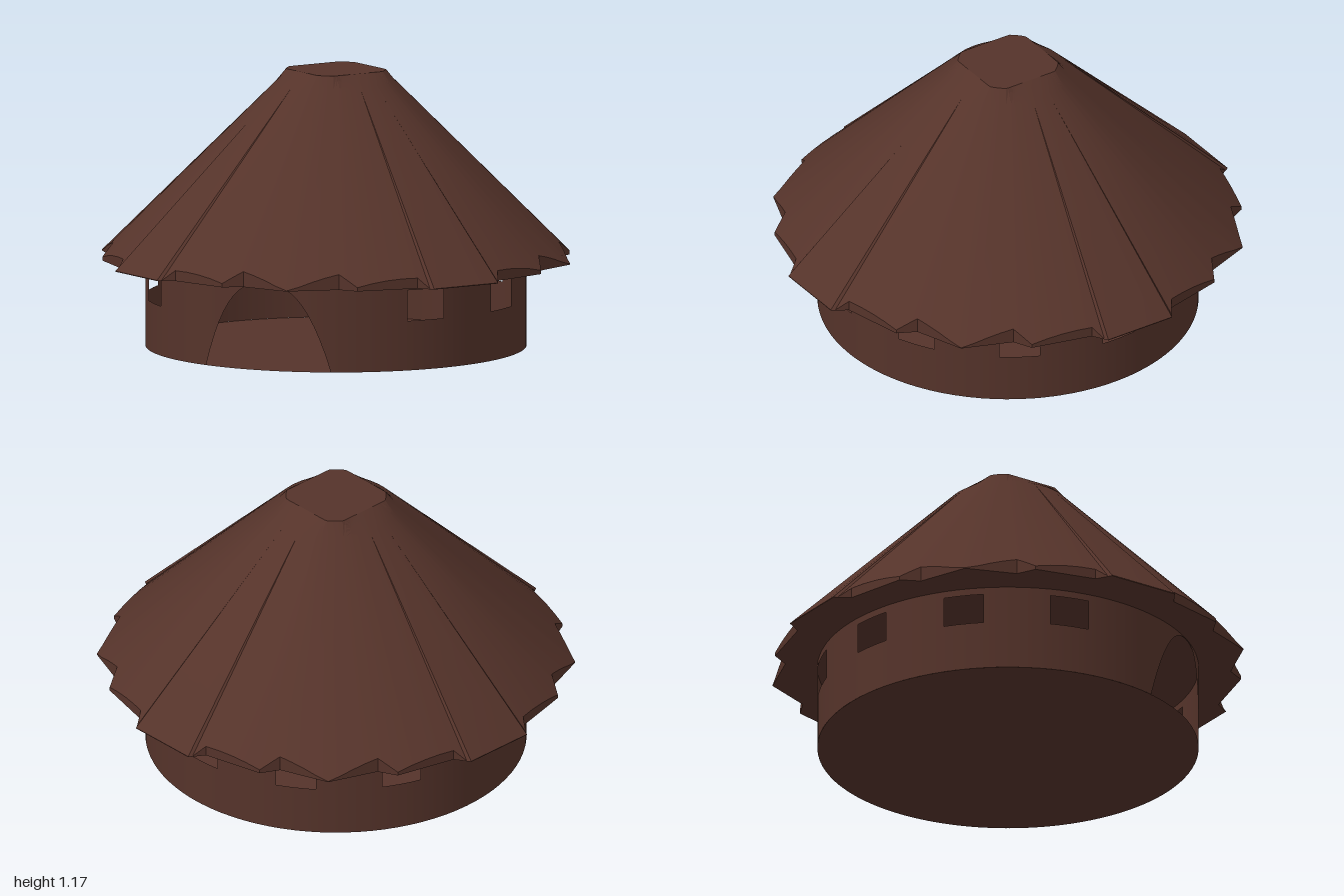
import * as THREE from 'three';
import { toCreasedNormals } from 'three/addons/utils/BufferGeometryUtils.js';

const RAD = Math.PI / 180;
const WALL_R = 0.8, EAVE = 0.37;
const brown = new THREE.MeshStandardMaterial({ color: 0x55332a, side: THREE.DoubleSide });
brown.name = 'brown';

function fromTriangles(points) {
  const g = new THREE.BufferGeometry();
  g.setAttribute('position', new THREE.Float32BufferAttribute(points, 3));
  g.computeVertexNormals();
  return g;
}

function addMesh(group, name, geometry) {
  const mesh = new THREE.Mesh(geometry, brown);
  mesh.name = name;
  group.add(mesh);
}

// Round wall, built as upright strips so the door and windows are real openings.
// Angles run from +x towards +z.
function wallGeometry() {
  const door = 145.3, doorHalf = 20.7, windowHalf = 6.1;
  const windows = [];
  for (let k = -4; k <= 4; k++) windows.push(door + 180 + 32.4 * k);

  // strip boundaries: an even spread plus the exact edges of every opening
  const start = door - doorHalf;
  const cuts = [start + 360];
  for (let a = 0; a < 2 * doorHalf; a += doorHalf / 12) cuts.push(start + a);
  for (let a = 2 * doorHalf; a < 360; a += 4) cuts.push(start + a);
  windows.forEach(w => cuts.push(w - windowHalf, w + windowHalf));
  cuts.sort((a, b) => a - b);

  const doorTop = a => {
    const t = Math.abs(a - door) / doorHalf;
    return t < 1 ? 0.367 * (1 - t ** 2.6) : 0;
  };
  const pos = [], nor = [];
  const vertex = (a, y) => {
    const c = Math.cos(a * RAD), s = Math.sin(a * RAD);
    pos.push(c * WALL_R, y, s * WALL_R);
    nor.push(c, 0, s);
  };
  const strip = (a, b, ya, yb, top) => {
    vertex(a, ya); vertex(a, top); vertex(b, top);
    vertex(a, ya); vertex(b, top); vertex(b, yb);
  };
  for (let i = 0; i + 1 < cuts.length; i++) {
    const a = cuts[i], b = cuts[i + 1], mid = (a + b) / 2;
    if (b - a < 1e-4) continue;
    if (windows.some(w => Math.abs(mid - w) < windowHalf)) {
      strip(a, b, 0, 0, 0.21);
      strip(a, b, 0.34, 0.34, EAVE);
    } else {
      strip(a, b, doorTop(a), doorTop(b), EAVE);
    }
  }
  const g = fromTriangles(pos);
  g.setAttribute('normal', new THREE.Float32BufferAttribute(nor, 3));
  return g;
}

// Conical thatch trimmed by a stepped eave, with a squarish flat cap.
function roofGeometry() {
  const quarter = [[0.16, 1], [0.2, 0.935], [0.46, 0.87], [0.5, 0.79], [0.71, 0.71],
    [0.79, 0.5], [0.87, 0.46], [0.935, 0.2], [1, 0.16]];
  const corners = [];
  for (let q = 0, pts = quarter; q < 4; q++, pts = pts.map(([x, z]) => [z, -x])) corners.push(...pts);

  // extra points along each edge let it follow the cone
  const outline = [];
  corners.forEach(([x, z], i) => {
    const [nx, nz] = corners[(i + 1) % corners.length];
    for (let k = 0; k < 4; k++) outline.push([x + (nx - x) * k / 4, z + (nz - z) * k / 4]);
  });

  const columns = outline.map(([x, z]) => {
    const r = Math.hypot(x, z), s = x / r, c = z / r;
    const cap = Math.min(0.172 / Math.max(Math.abs(s), Math.abs(c)), 0.21);
    return [
      [0, EAVE, 0],
      [x, EAVE, z],
      [x, Math.max(EAVE + 0.003, 1.37 - r), z],
      [s * 0.255, 1.115, c * 0.255],
      [s * cap, 1.17, c * cap],
      [0, 1.173, 0],
    ];
  });
  const pos = [];
  columns.forEach((a, i) => {
    const b = columns[(i + 1) % columns.length];
    for (let j = 0; j < 5; j++) {
      if (j > 0) pos.push(...a[j], ...b[j], ...b[j + 1]);
      if (j < 4) pos.push(...a[j], ...b[j + 1], ...a[j + 1]);
    }
  });
  return toCreasedNormals(fromTriangles(pos), 0.35);
}

export function createModel() {
  const hut = new THREE.Group();
  hut.name = 'roundHut';
  addMesh(hut, 'wall', wallGeometry());
  addMesh(hut, 'floor', new THREE.CircleGeometry(WALL_R, 72).rotateX(Math.PI / 2));
  addMesh(hut, 'roof', roofGeometry());
  return hut;
}
